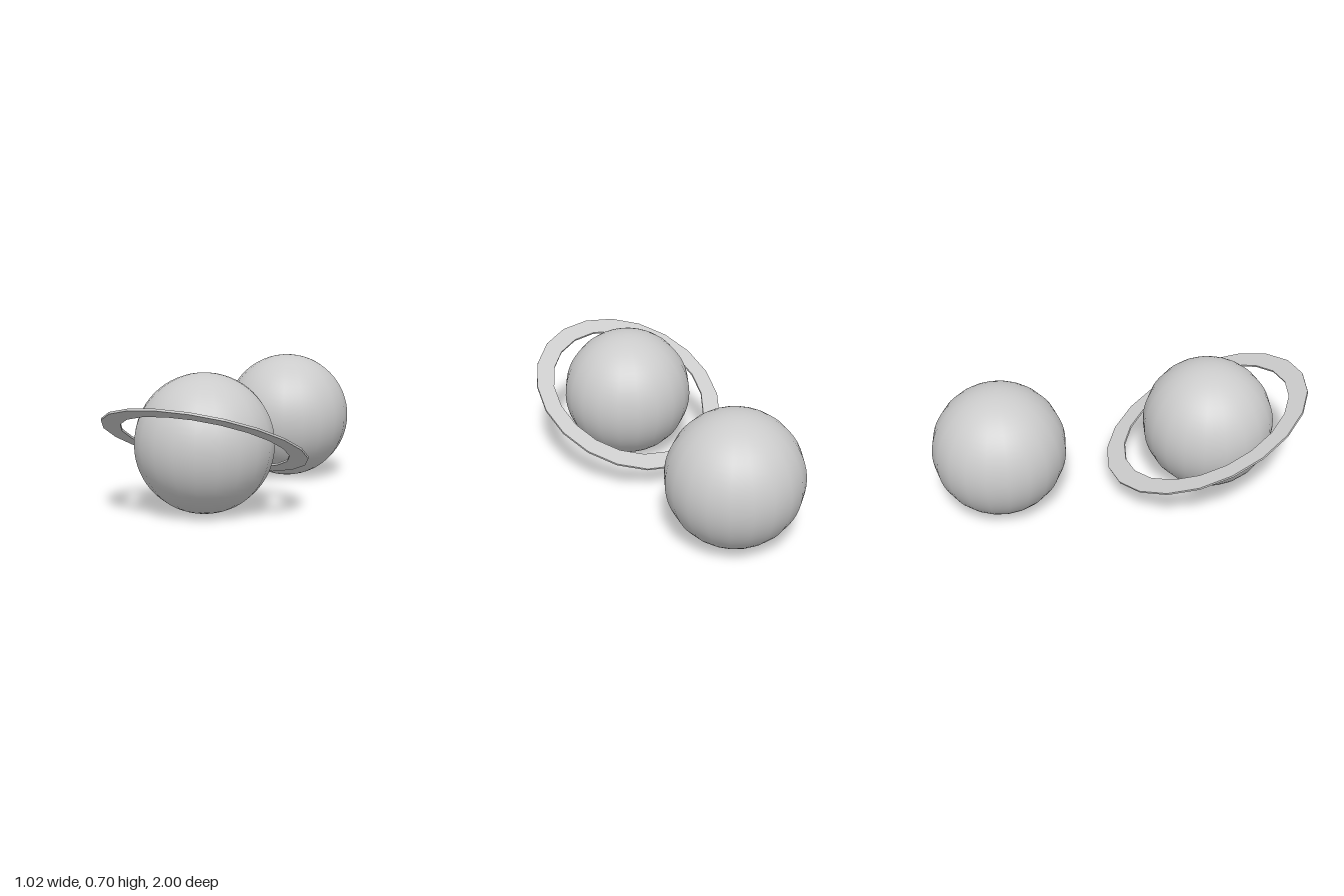
import * as THREE from 'three';

const RADIUS = 0.35;
const SIDES = 20;

// Regular polygon stretched along its second axis
function ellipsePoints(rx, ry) {
  return Array.from({ length: SIDES }, (_, i) => {
    const a = (i / SIDES) * Math.PI * 2;
    return new THREE.Vector2(Math.cos(a) * rx, Math.sin(a) * ry);
  });
}

export function createModel() {
  const model = new THREE.Group();
  const material = new THREE.MeshStandardMaterial({ color: 0xcccccc });

  // Two equal smooth globes, one behind the other
  const globe = new THREE.SphereGeometry(RADIUS, SIDES, 32);
  const addGlobe = (name, z) => {
    const mesh = new THREE.Mesh(globe, material);
    mesh.name = name;
    mesh.position.set(0, 0.354, z);
    model.add(mesh);
  };
  addGlobe('ringedPlanet', 0.478);
  addGlobe('plainPlanet', -0.65);

  // Thin flat oval ring, raised at the front
  const thickness = 0.011;
  const shape = new THREE.Shape(ellipsePoints(0.508, 0.579));
  shape.holes.push(new THREE.Path(ellipsePoints(0.415, 0.475)));
  const ringGeometry = new THREE.ExtrudeGeometry(shape, { depth: thickness, bevelEnabled: false });
  ringGeometry.translate(0, 0, -thickness / 2);
  ringGeometry.rotateX(-Math.PI / 2);
  const ring = new THREE.Mesh(ringGeometry, material);
  ring.name = 'planetRing';
  ring.position.set(0, 0.356, 0.465);
  ring.rotation.x = THREE.MathUtils.degToRad(-23.2);
  model.add(ring);

  return model;
}
